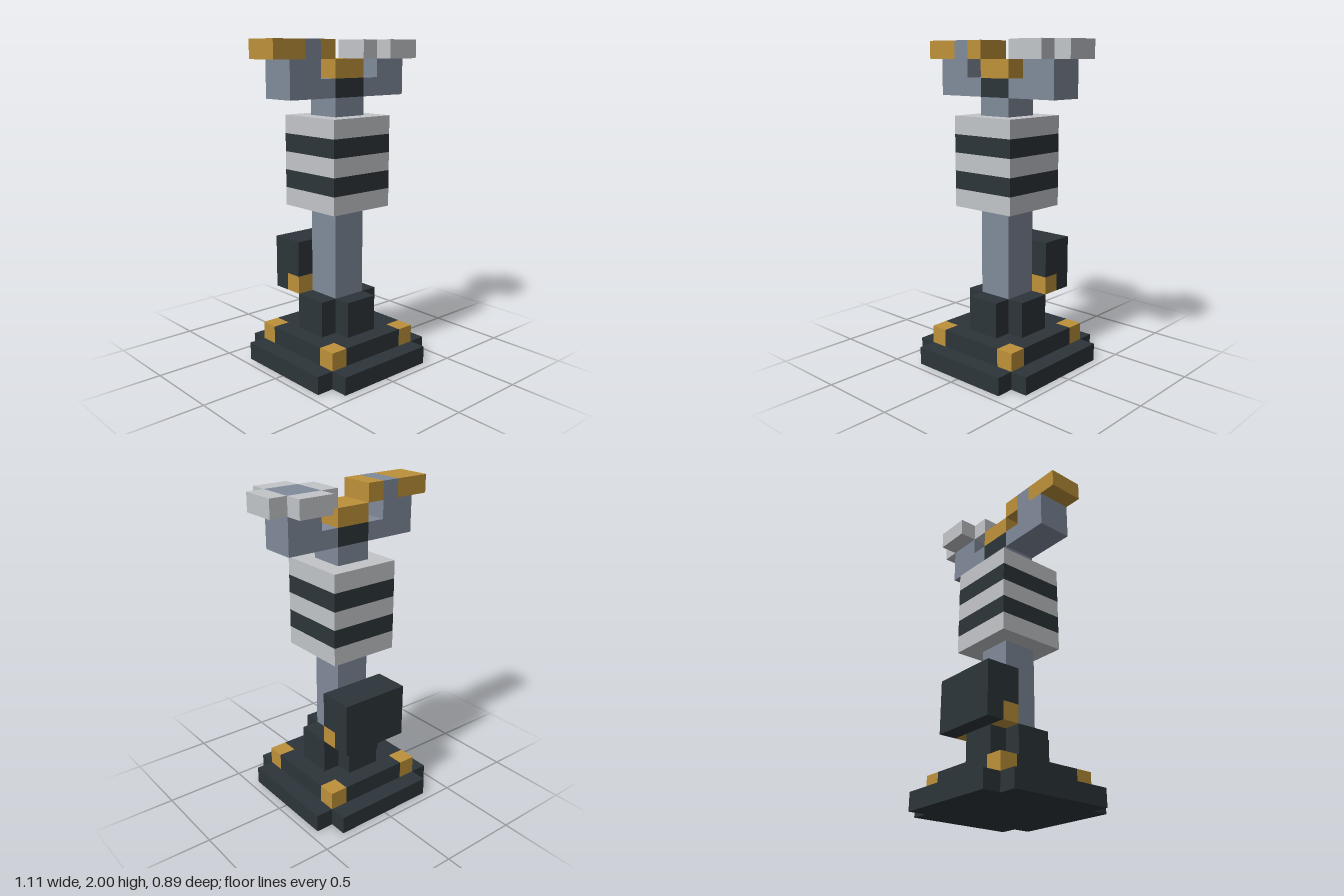
import * as THREE from 'three';

const U = 1 / 9; // one block

function mat(name, color) {
  const m = new THREE.MeshStandardMaterial({ color });
  m.name = name;
  return m;
}

export function createModel() {
  const dark = mat('charcoal', 0x2d353a);
  const light = mat('light grey', 0xc2c5c9);
  const steel = mat('steel blue', 0x808a9a);
  const gold = mat('ochre', 0xbd9139);

  const model = new THREE.Group();
  model.name = 'blockTower';

  // Box from its limits, in blocks
  function box(name, material, [x0, x1], [y0, y1], [z0, z1], parent = model) {
    const geo = new THREE.BoxGeometry((x1 - x0) * U, (y1 - y0) * U, (z1 - z0) * U);
    const mesh = new THREE.Mesh(geo, material);
    mesh.name = name;
    mesh.position.set((x0 + x1) / 2 * U, (y0 + y1) / 2 * U, (z0 + z1) / 2 * U);
    parent.add(mesh);
    return mesh;
  }

  // Square slab of half width a, with its corners notched in to b
  function notchedSlab(name, material, a, b, y0, y1) {
    const pts = [[a, -b], [a, b], [b, b], [b, a], [-b, a], [-b, b],
      [-a, b], [-a, -b], [-b, -b], [-b, -a], [b, -a], [b, -b]];
    const shape = new THREE.Shape(pts.map(([x, y]) => new THREE.Vector2(x * U, y * U)));
    const geo = new THREE.ExtrudeGeometry(shape, { depth: (y1 - y0) * U, bevelEnabled: false });
    geo.rotateX(-Math.PI / 2);
    const mesh = new THREE.Mesh(geo, material);
    mesh.name = name;
    mesh.position.y = y0 * U;
    model.add(mesh);
  }

  // Stepped base with ochre corner blocks
  notchedSlab('base', dark, 4, 3, 0, 1);
  notchedSlab('baseStep', dark, 3, 2, 1, 2);
  for (const x of [-3, 2]) {
    for (const z of [-3, 2]) box('cornerBlock', gold, [x, x + 1], [1, 2], [z, z + 1]);
  }
  notchedSlab('pedestal', dark, 2, 1, 2, 4);

  // Post and the box mounted on its back
  const core = [-1, 1];
  box('post', steel, core, [4, 9], core);
  box('backBoxUpper', dark, [-2, 2], [5, 7], [-3, -1]);
  box('backBoxLower', dark, [-2, 2], [4, 5], [-3, -2]);
  box('backBoxBracket', gold, [-2, 2], [4, 5], [-2, -1]);

  // Striped drum
  for (let i = 0; i < 5; i++) {
    box('stripe', i % 2 ? dark : light, [-2, 2], [9 + i, 10 + i], [-2, 2]);
  }

  // Neck, hub and cap
  box('neck', steel, core, [14, 15], core);
  box('hub', dark, core, [15, 16], core);
  box('hubCap', gold, core, [16, 17], core);

  // Right arm with an ochre bar across its top
  const rightArm = new THREE.Group();
  rightArm.name = 'rightArm';
  model.add(rightArm);
  box('forearm', steel, [-4, -1], [15, 16], core, rightArm);
  box('upright', steel, [-4, -2], [16, 17], core, rightArm);
  box('barOuter', gold, [-5, -3], [17, 18], core, rightArm);
  box('barMiddle', steel, [-3, -2], [17, 18], core, rightArm);
  box('barInner', gold, [-2, -1], [17, 18], core, rightArm);

  // Left arm with a light cross around its top
  const leftArm = new THREE.Group();
  leftArm.name = 'leftArm';
  model.add(leftArm);
  box('forearm', steel, [1, 4], [15, 16], core, leftArm);
  box('upright', steel, [2, 4], [16, 18], core, leftArm);
  for (const s of [1, 4]) box('crossSide', light, [s, s + 1], [17, 18], core, leftArm);
  for (const z of [-2, 1]) box('crossEnd', light, [2, 4], [17, 18], [z, z + 1], leftArm);

  return model;
}
